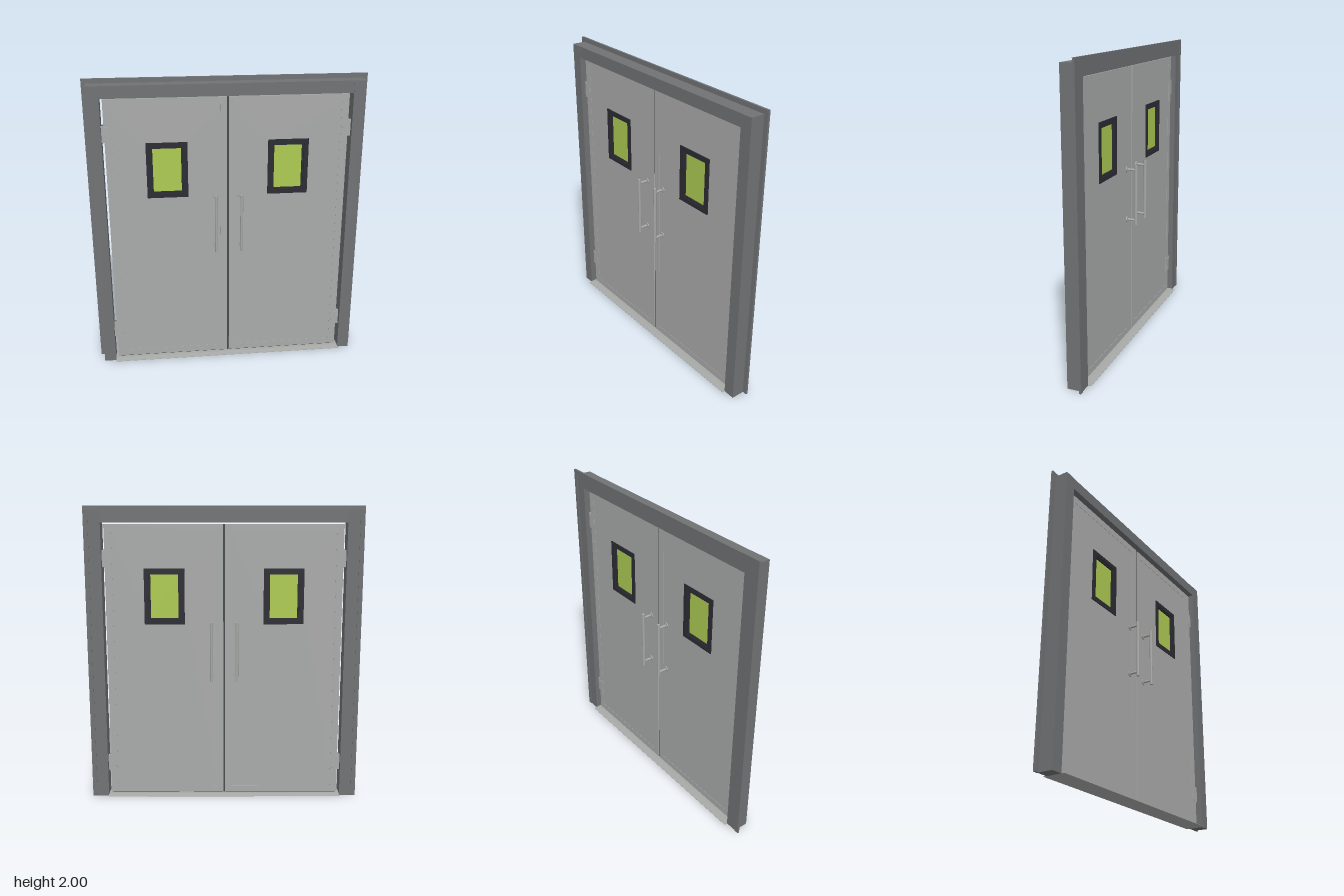
import * as THREE from 'three';

export function createModel() {
  const mat = (name, color) => {
    const m = new THREE.MeshStandardMaterial({ color });
    m.name = name;
    return m;
  };
  const frameGrey = mat('frame grey', 0x707274);
  const doorGrey = mat('door grey', 0xa9abaa);
  const metal = mat('brushed metal', 0xa6a8a5);
  const black = mat('window surround black', 0x2b2b33);
  const glassGreen = mat('glass green', 0xaecb52);
  const gasket = mat('gasket dark grey', 0x48494a);

  const model = new THREE.Group();
  model.name = 'doubleDoor';

  const add = (parent, name, geometry, material) => {
    const mesh = new THREE.Mesh(geometry, material);
    mesh.name = name;
    parent.add(mesh);
    return mesh;
  };
  // Box given by its limits on each axis
  const box = (parent, name, material, x0, x1, y0, y1, z0, z1) => {
    const mesh = add(parent, name, new THREE.BoxGeometry(x1 - x0, y1 - y0, z1 - z0), material);
    mesh.position.set((x0 + x1) / 2, (y0 + y1) / 2, (z0 + z1) / 2);
    return mesh;
  };
  const rect = (C, x0, x1, y0, y1) =>
    new C([[x0, y0], [x1, y0], [x1, y1], [x0, y1]].map(p => new THREE.Vector2(...p)));
  // Rectangular plate with a rectangular opening, centred on z = 0
  const ring = (outer, inner, depth) => {
    const shape = rect(THREE.Shape, ...outer);
    shape.holes.push(rect(THREE.Path, ...inner));
    return new THREE.ExtrudeGeometry(shape, { depth, bevelEnabled: false }).translate(0, 0, -depth / 2);
  };

  // Fixed frame: jambs, header and the back flange around them
  box(model, 'header', frameGrey, -0.81, 0.81, 1.89, 1.97, -0.05, 0.05);
  box(model, 'topFlange', frameGrey, -0.92, 0.92, 1.97, 2, -0.054, -0.04);
  for (const s of [-1, 1]) {
    const x = (a, b) => (s > 0 ? [a, b] : [-b, -a]);
    box(model, 'jamb', frameGrey, ...x(0.81, 0.89), 0, 1.97, -0.05, 0.052);
    box(model, 'sideFlange', frameGrey, ...x(0.89, 0.92), 0, 1.97, -0.054, -0.04);
  }

  // Low threshold with sloped front and back
  const sill = new THREE.Shape(
    [[-0.072, 0], [0.072, 0], [0.072, 0.002], [0.035, 0.01], [-0.035, 0.01], [-0.072, 0.002]]
      .map(p => new THREE.Vector2(...p)));
  add(model, 'threshold',
    new THREE.ExtrudeGeometry(sill, { depth: 1.62, bevelEnabled: false })
      .translate(0, 0, -0.81).rotateY(Math.PI / 2), metal);

  // Seal between the two leaves
  box(model, 'centreSeal', gasket, -0.006, 0.006, 0.012, 1.88, -0.012, 0.012);

  // Pull handle on one face of a leaf; side is +1 for front, -1 for back
  const addHandle = (parent, x, side) => {
    const handle = new THREE.Group();
    handle.name = 'pullHandle';
    parent.add(handle);
    add(handle, 'gripBar', new THREE.CylinderGeometry(0.01, 0.01, 0.405, 20), metal)
      .position.set(x, 1.033, side * 0.082);
    for (const y of [0.86, 1.207]) {
      const post = add(handle, 'post', new THREE.CylinderGeometry(0.008, 0.008, 0.067, 16), metal);
      post.position.set(x, y, side * 0.0485);
      post.rotation.x = Math.PI / 2;
      const rose = add(handle, 'rosette', new THREE.CylinderGeometry(0.02, 0.02, 0.008, 24), metal);
      rose.position.set(x, y, side * 0.019);
      rose.rotation.x = Math.PI / 2;
    }
  };

  // The two leaves mirror each other about the centre seam
  for (const s of [-1, 1]) {
    const leaf = new THREE.Group();
    leaf.name = s > 0 ? 'leftLeaf' : 'rightLeaf';
    model.add(leaf);
    const x = (a, b) => (s > 0 ? [a, b] : [-b, -a]);

    // Core panel with a slightly raised border, both open at the window
    const opening = [...x(0.29, 0.51), 1.24, 1.565];
    add(leaf, 'panel', ring([...x(0.045, 0.75), 0.055, 1.835], opening, 0.032), doorGrey);
    add(leaf, 'border',
      ring([...x(0.006, 0.793), 0.016, 1.88], [...x(0.05, 0.745), 0.06, 1.83], 0.036), doorGrey);
    box(leaf, 'bottomSeal', gasket, ...x(0.008, 0.785), 0.008, 0.016, -0.012, 0.012);

    // Window
    add(leaf, 'windowSurround',
      ring([...x(0.265, 0.535), 1.215, 1.59], [...x(0.295, 0.505), 1.245, 1.56], 0.044), black);
    add(leaf, 'windowBead',
      ring([...x(0.29, 0.51), 1.24, 1.565], [...x(0.307, 0.493), 1.255, 1.55], 0.03), black);
    box(leaf, 'glass', glassGreen, ...x(0.3, 0.5), 1.25, 1.555, -0.004, 0.004);

    // Hinges bridging the gap to the jamb
    for (const y of [0.235, 1.655]) {
      box(leaf, 'hingeLeaf', doorGrey, ...x(0.755, 0.795), y - 0.045, y + 0.045, -0.02, 0.02);
      box(leaf, 'hingePlate', doorGrey, ...x(0.79, 0.812), y - 0.055, y + 0.055, -0.02, 0.02);
      add(leaf, 'hingePin', new THREE.CylinderGeometry(0.008, 0.008, 0.118, 16), frameGrey)
        .position.set(s * 0.802, y, 0);
    }

    addHandle(leaf, s * 0.085, 1);
    addHandle(leaf, s * 0.085, -1);
  }
  return model;
}
